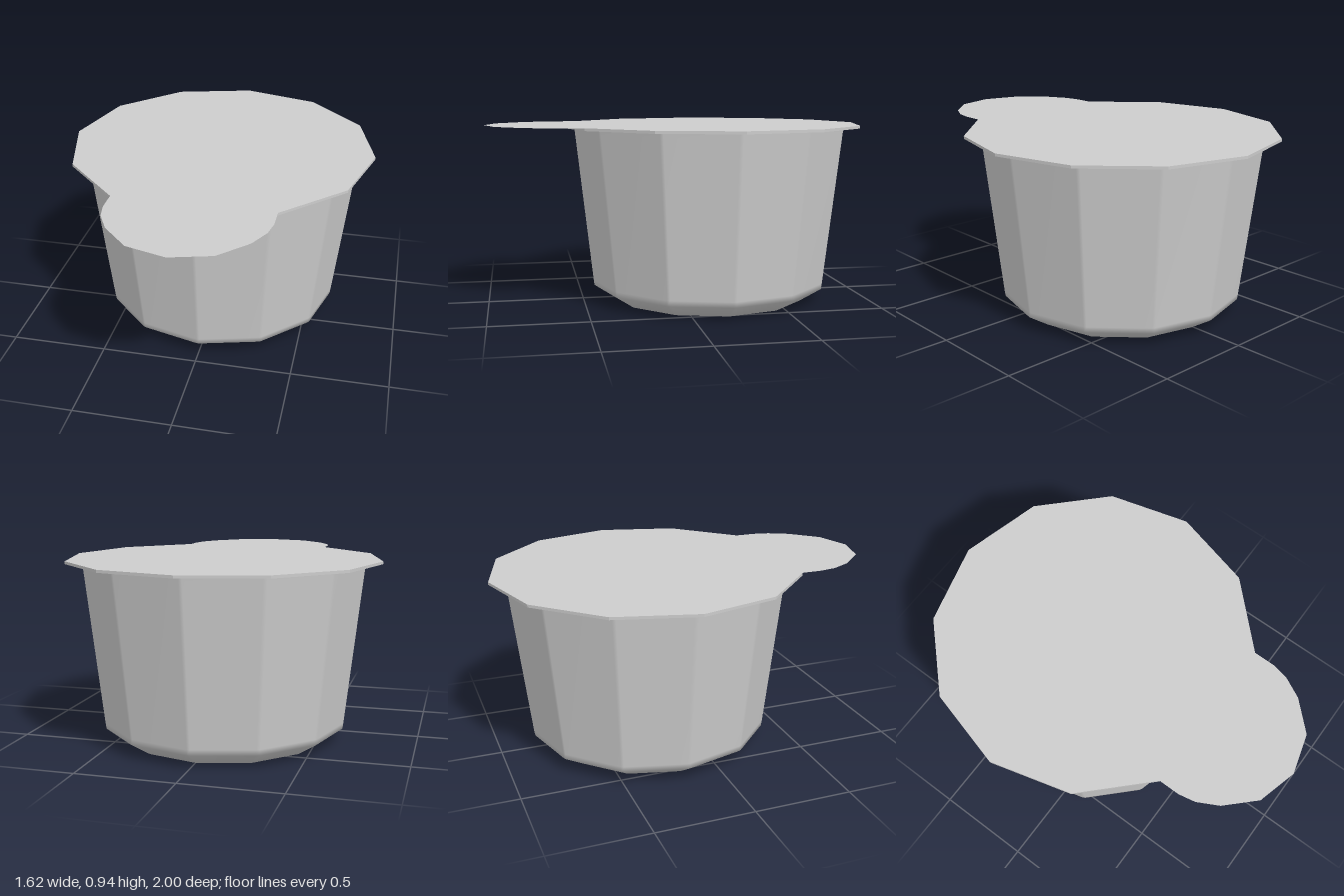
import * as THREE from 'three';

const SIDES = 12;
const CENTER_Z = -0.19;

// Twelve-sided ring whose corners are slightly bevelled (two points per corner)
function bevelledRing(radius, y, bevel = 0.025) {
  const corner = (i) => {
    const a = (i / SIDES) * Math.PI * 2;
    return new THREE.Vector3(Math.sin(a) * radius, y, Math.cos(a) * radius);
  };
  const points = [];
  for (let i = 0; i < SIDES; i++) {
    points.push(corner(i).lerp(corner(i - 1), bevel), corner(i).lerp(corner(i + 1), bevel));
  }
  return points;
}

// Smooth-shaded wall through the rings, listed bottom to top, closed by a bottom fan
function cupGeometry(profile) {
  const rings = profile.map(([radius, y]) => bevelledRing(radius, y));
  const n = SIDES * 2;
  const points = [...rings.flat(), new THREE.Vector3(0, profile[0][1], 0)];
  const center = points.length - 1;
  const index = [];
  for (let i = 0; i < n; i++) {
    const j = (i + 1) % n;
    index.push(center, j, i);
    for (let r = 0; r < rings.length - 1; r++) {
      const a = r * n + i, b = r * n + j;
      index.push(a, b, b + n, a, b + n, a + n);
    }
  }
  const geometry = new THREE.BufferGeometry().setFromPoints(points);
  geometry.setIndex(index);
  geometry.computeVertexNormals();
  return geometry;
}

export function createModel() {
  const model = new THREE.Group();
  model.name = 'sealedCup';

  const grey = new THREE.MeshStandardMaterial({ color: 0xcccccc, side: THREE.DoubleSide });
  grey.name = 'light grey';

  // Tapered cup with a chamfered foot
  const cup = new THREE.Mesh(
    cupGeometry([[0.52, 0], [0.63, 0.07], [0.634, 0.1], [0.724, 0.9], [0.727, 0.925]]), grey);
  cup.name = 'cup';
  cup.position.z = CENTER_Z;
  model.add(cup);

  // Thin lid, overhanging the cup as a rim
  const lidGeometry = new THREE.CylinderGeometry(0.81, 0.81, 0.014, SIDES).toNonIndexed();
  lidGeometry.computeVertexNormals();
  const lid = new THREE.Mesh(lidGeometry, grey);
  lid.name = 'lid';
  lid.position.set(0, 0.929, CENTER_Z);
  model.add(lid);

  // Pull tab: a paper-thin sheet continuing the lid's top face at the front
  const half = [[0.405, 0.511], [0.405, 0.62], [0.388, 0.705], [0.333, 0.81], [0.2, 0.945]];
  const outline = [
    ...half, [0, 1], ...half.map(([x, z]) => [-x, z]).reverse(), [0, 0.62],
  ].map(([x, z]) => new THREE.Vector2(x, -z));
  const tab = new THREE.Mesh(
    new THREE.ShapeGeometry(new THREE.Shape(outline)).rotateX(-Math.PI / 2), grey);
  tab.name = 'pullTab';
  tab.position.y = 0.936;
  model.add(tab);

  return model;
}
